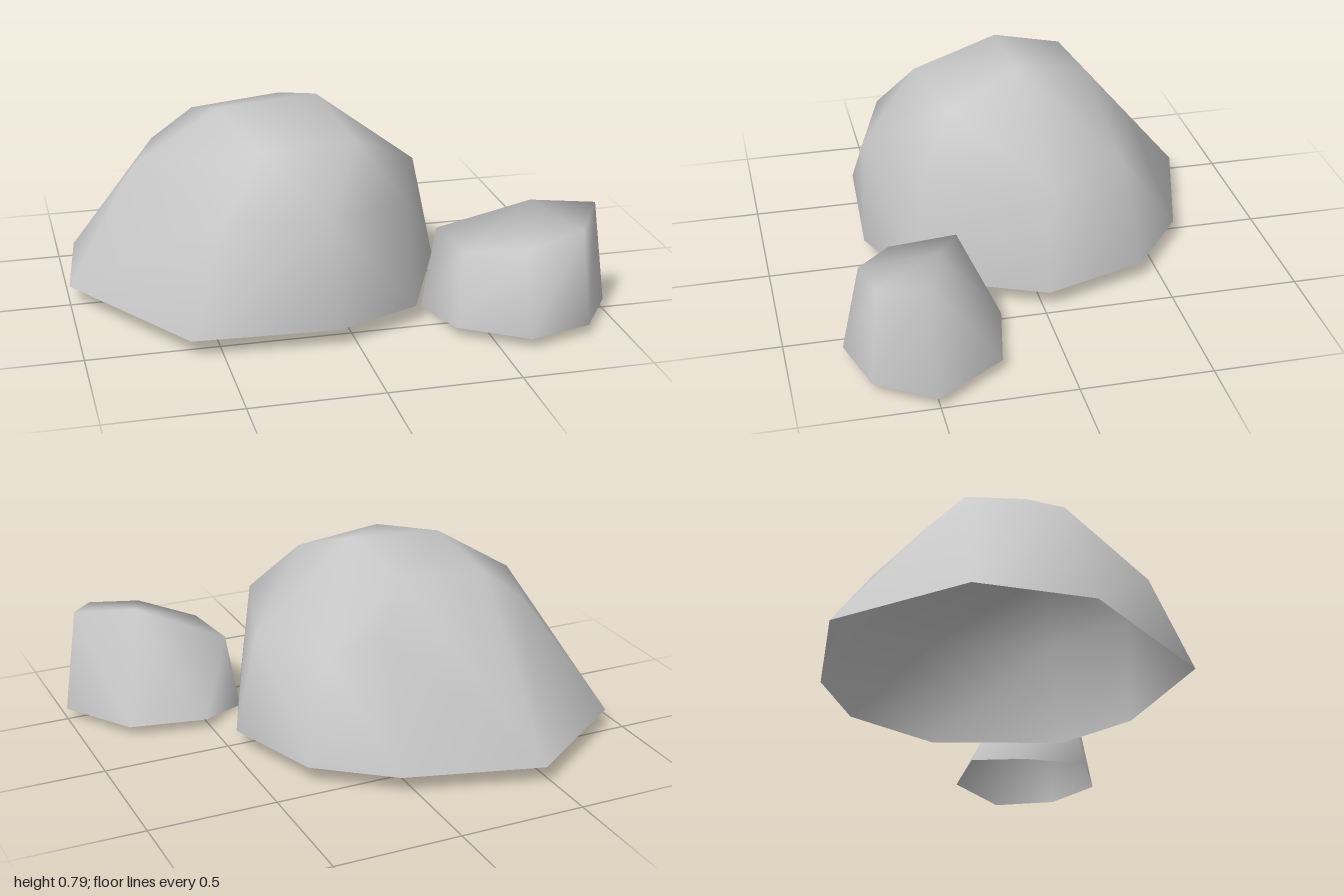
import * as THREE from 'three';
import { ConvexGeometry } from 'three/addons/geometries/ConvexGeometry.js';
import { mergeVertices } from 'three/addons/utils/BufferGeometryUtils.js';

// Boulder shell: hull around its corner points, open underneath, smooth normals
function makeRock(name, rings, material) {
  const points = rings.flat().map(([x, y, z]) => new THREE.Vector3(x, y, z));
  const hull = new ConvexGeometry(points);
  hull.deleteAttribute('normal');
  const geometry = mergeVertices(hull, 1e-4);

  // Drop the underside: triangles whose corners all lie on the base ring
  const { position } = geometry.attributes;
  const sides = [];
  for (let i = 0; i < geometry.index.count; i += 3) {
    const corners = [0, 1, 2].map((k) => geometry.index.getX(i + k));
    if (corners.some((c) => position.getY(c) > 0.1)) sides.push(...corners);
  }
  geometry.setIndex(sides);
  geometry.computeVertexNormals();

  const mesh = new THREE.Mesh(geometry, material);
  mesh.name = name;
  return mesh;
}

export function createModel() {
  const group = new THREE.Group();
  group.name = 'rocks';
  const stone = new THREE.MeshStandardMaterial({ color: 0xc8c8c8, side: THREE.DoubleSide });
  stone.name = 'stone grey';

  // Large boulder: flat base, shoulder ring and crown
  const largeBase = [
    [-1, -0.02], [-0.94, -0.46], [-0.47, -0.79], [0.06, -0.64], [0.34, -0.42],
    [0.47, -0.02], [0.26, 0.47], [-0.07, 0.61], [-0.62, 0.58],
  ].map(([x, z]) => [x, 0.07, z]);
  const largeShoulder = [
    [-0.73, 0.56, 0], [-0.62, 0.55, -0.32], [0.04, 0.55, -0.45], [0.24, 0.48, -0.36],
    [0.39, 0.475, -0.05], [0.23, 0.48, 0.42], [-0.1, 0.49, 0.595], [-0.48, 0.48, 0.48],
  ];
  const largeCrown = [
    [-0.41, 0.76, 0], [-0.46, 0.68, -0.28], [-0.1, 0.71, -0.3],
    [-0.02, 0.79, 0], [0.07, 0.68, 0.28], [-0.31, 0.69, 0.35],
  ];
  group.add(makeRock('largeRock', [largeBase, largeShoulder, largeCrown], stone));

  // Small boulder: base with one lower corner, sloping top
  const smallBase = [
    [0.32, 0, 0.33], [0.52, 0.04, 0.18], [0.82, 0.04, 0.24], [1, 0.04, 0.51],
    [0.86, 0.04, 0.72], [0.61, 0.04, 0.79], [0.37, 0.04, 0.63],
  ];
  const smallTop = [
    [0.38, 0.32, 0.32], [0.41, 0.32, 0.58], [0.61, 0.37, 0.72],
    [0.83, 0.41, 0.69], [0.94, 0.45, 0.52], [0.71, 0.45, 0.44],
  ];
  group.add(makeRock('smallRock', [smallBase, smallTop], stone));

  return group;
}
